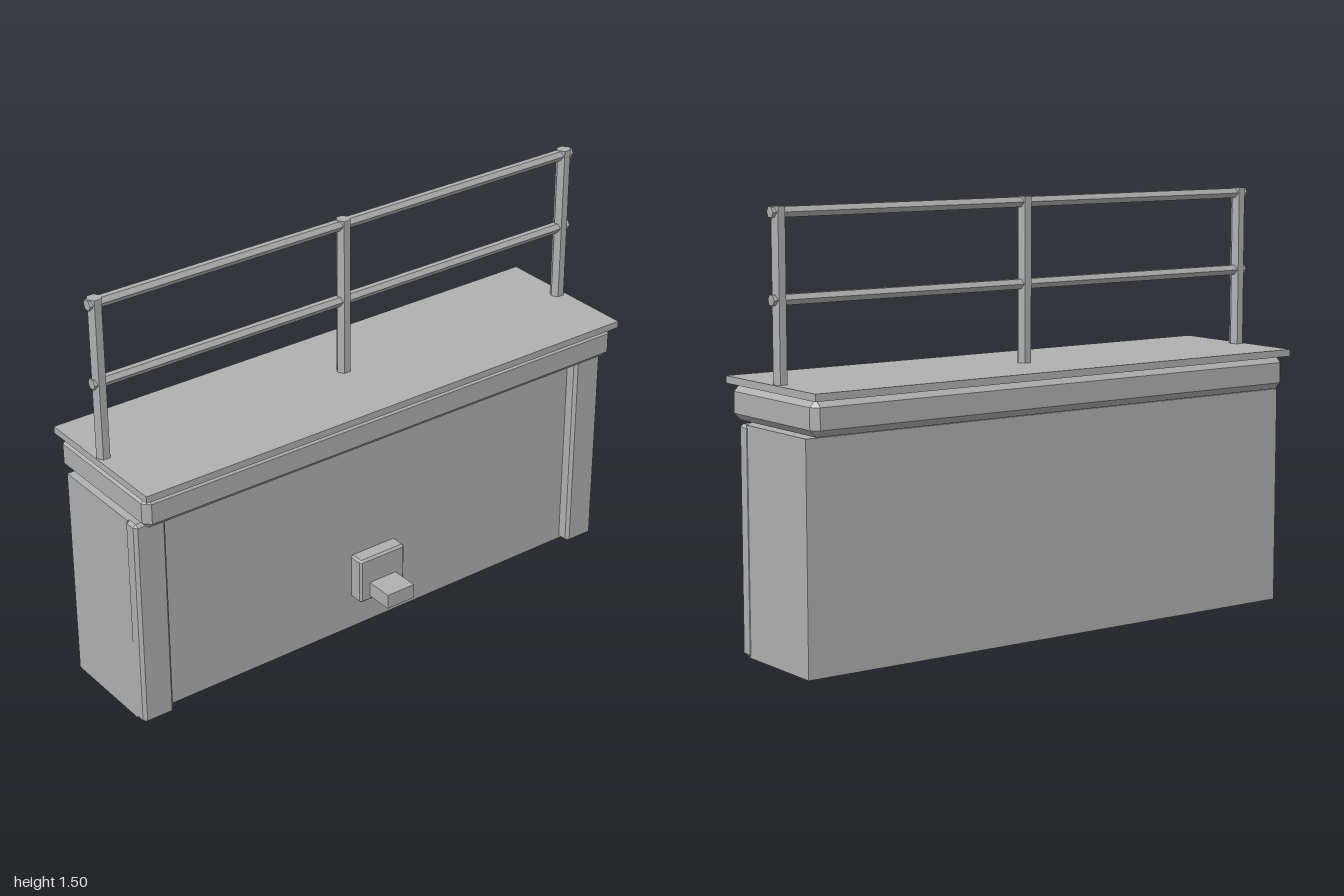
import * as THREE from 'three';
import { ConvexGeometry } from 'three/addons/geometries/ConvexGeometry.js';

const concrete = new THREE.MeshStandardMaterial({ color: 0xb0b0b0 });
concrete.name = 'concrete grey';

// Box given by its minimum and maximum corners
function box(x0, x1, y0, y1, z0, z1) {
  const g = new THREE.BoxGeometry(x1 - x0, y1 - y0, z1 - z0);
  return g.translate((x0 + x1) / 2, (y0 + y1) / 2, (z0 + z1) / 2);
}

// Same box with every edge chamfered by b
function chamferBox(x0, x1, y0, y1, z0, z1, b) {
  const half = [(x1 - x0) / 2, (y1 - y0) / 2, (z1 - z0) / 2];
  const points = [];
  for (const sx of [-1, 1]) for (const sy of [-1, 1]) for (const sz of [-1, 1]) {
    for (let axis = 0; axis < 3; axis++) {
      const [x, y, z] = half.map((h, i) => (i === axis ? h : h - b));
      points.push(new THREE.Vector3(sx * x, sy * y, sz * z));
    }
  }
  return new ConvexGeometry(points).translate((x0 + x1) / 2, (y0 + y1) / 2, (z0 + z1) / 2);
}

export function createModel() {
  const model = new THREE.Group();
  model.name = 'parapetWall';
  const flat = concrete;
  flat.flatShading = true;
  const add = (name, geometry) => {
    const mesh = new THREE.Mesh(geometry, flat);
    mesh.name = name;
    model.add(mesh);
    return mesh;
  };

  // Wall body, bevelled coping and top slab
  add('wall', box(-0.998, 0.998, 0, 0.78, -0.23, 0.14));
  add('coping', chamferBox(-0.995, 0.995, 0.785, 0.906, -0.275, 0.247, 0.024));
  add('topSlab', box(-1, 1, 0.905, 0.93, -0.295, 0.265));

  // Corner pilasters on the front
  for (const [side, x0] of [['right', -1], ['left', 0.88]]) {
    add(side + 'Pilaster', chamferBox(x0, x0 + 0.12, 0, 0.78, 0.125, 0.186, 0.011));
  }

  // Drain outlet
  add('outletPlate', chamferBox(-0.1, 0.095, 0.125, 0.3, 0.12, 0.195, 0.008));
  add('outletSpout', box(-0.06, 0.055, 0.145, 0.2, 0.14, 0.298));

  // Hexagonal railing posts, corners pointing along x
  const railZ = -0.033;
  for (const [name, x] of [['rightPost', -0.972], ['middlePost', -0.003], ['leftPost', 0.97]]) {
    const post = new THREE.CylinderGeometry(0.026, 0.026, 0.572, 6).rotateY(Math.PI / 6);
    add(name, post.translate(x, 0.929 + 0.286, railZ));
  }

  // Hexagonal rails, corners pointing along z
  for (const [name, y] of [['topRail', 1.482], ['middleRail', 1.202]]) {
    const rail = new THREE.CylinderGeometry(0.02, 0.02, 2, 6).rotateZ(Math.PI / 2);
    add(name, rail.translate(0, y, railZ));
  }

  return model;
}
